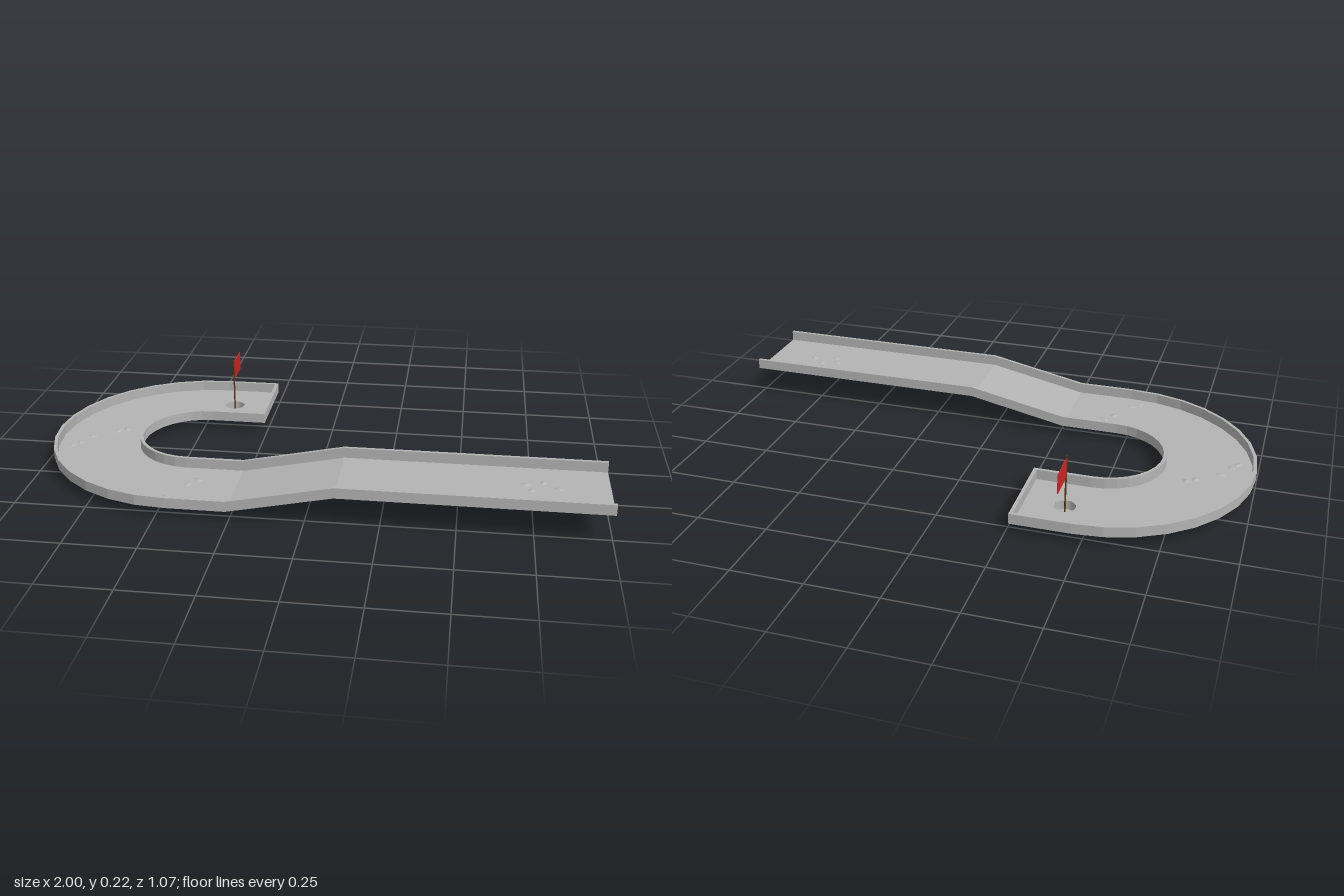
import * as THREE from 'three';

const LOW = 0.033, HIGH = 0.107, WALL_H = 0.037, WALL_T = 0.012;
const R_IN = 0.208, R_OUT = 0.533, BEND_X = -0.467, END_X = -0.26;
const CUP = { x: -0.41, z: -0.37, r: 0.037 };

// Stations along the lane: pivot x, outward direction (nx, nz) and deck height
function laneStations() {
  const s = [
    { x: 1, nx: 0, nz: 1, y: HIGH },
    { x: 0.1, nx: 0, nz: 1, y: HIGH },
    { x: -0.26, nx: 0, nz: 1, y: LOW },
  ];
  const n = 16;
  for (let i = 0; i <= n; i++) {
    const t = (Math.PI * i) / n;
    s.push({ x: BEND_X, nx: -Math.sin(t), nz: Math.cos(t), y: LOW });
  }
  return s;
}

// Sweep a profile of [radius, height] points along the stations
function sweep(stations, profile, closed) {
  const pos = [];
  const at = (s, [r, h]) => [s.x + s.nx * r, s.y + h, s.nz * r];
  const quad = (a, b, c, d) => pos.push(...a, ...b, ...c, ...a, ...c, ...d);
  const edges = closed ? profile.length : profile.length - 1;
  for (let i = 0; i < stations.length - 1; i++) {
    const s = stations[i], e = stations[i + 1];
    for (let j = 0; j < edges; j++) {
      const p = profile[j], q = profile[(j + 1) % profile.length];
      quad(at(s, p), at(s, q), at(e, q), at(e, p));
    }
  }
  if (closed) {
    const first = profile.map((p) => at(stations[0], p)).reverse();
    quad(...first);
    quad(...profile.map((p) => at(stations[stations.length - 1], p)));
  }
  const g = new THREE.BufferGeometry();
  g.setAttribute('position', new THREE.Float32BufferAttribute(pos, 3));
  g.computeVertexNormals();
  return g;
}

export function createModel() {
  const group = new THREE.Group();
  const make = (name, color) => {
    const m = new THREE.MeshStandardMaterial({ color, flatShading: true, side: THREE.DoubleSide });
    m.name = name;
    return m;
  };
  const grey = make('concrete grey', 0xb4b4b4);
  const red = make('flag red', 0xd02424);
  const brown = make('pole brown', 0x5a3a12);

  const add = (name, geometry, material, x = 0, y = 0, z = 0) => {
    const m = new THREE.Mesh(geometry, material);
    m.name = name;
    m.position.set(x, y, z);
    group.add(m);
    return m;
  };

  // Deck: swept sheet, then a flat end piece with the hole cut out
  const stations = laneStations();
  add('deck', sweep(stations, [[R_OUT, 0], [R_IN, 0]], false), grey);
  const end = new THREE.Shape();
  end.moveTo(BEND_X, R_IN);
  end.lineTo(END_X, R_IN);
  end.lineTo(END_X, R_OUT);
  end.lineTo(BEND_X, R_OUT);
  const hole = new THREE.Path();
  hole.absarc(CUP.x, -CUP.z, CUP.r, 0, Math.PI * 2, true);
  end.holes.push(hole);
  add('holeDeck', new THREE.ShapeGeometry(end, 24).rotateX(-Math.PI / 2), grey, 0, LOW, 0);

  // Side walls follow the whole lane, one wall closes its far end
  const wallPath = [...stations, { x: END_X, nx: 0, nz: -1, y: LOW }];
  const wallProfile = (r) => [[r, 0], [r + WALL_T, 0], [r + WALL_T, WALL_H], [r, WALL_H]];
  add('innerWall', sweep(wallPath, wallProfile(R_IN), true), grey);
  add('outerWall', sweep(wallPath, wallProfile(R_OUT - WALL_T), true), grey);
  add('endWall', new THREE.BoxGeometry(WALL_T, WALL_H, R_OUT - R_IN - 2 * WALL_T), grey,
    END_X - WALL_T / 2, LOW + WALL_H / 2, -(R_IN + R_OUT) / 2);

  // Cup below the hole
  const cupProfile = [[0, 0], [CUP.r, 0], [CUP.r, LOW]].map(([x, y]) => new THREE.Vector2(x, y));
  add('cup', new THREE.LatheGeometry(cupProfile, 24), grey, CUP.x, 0, CUP.z);

  // Flag on its pole
  add('pole', new THREE.CylinderGeometry(0.003, 0.003, 0.225, 8), brown, CUP.x, 0.1125, CUP.z);
  add('flag', new THREE.BoxGeometry(0.003, 0.071, 0.114), red, CUP.x, 0.18, CUP.z - 0.062);

  // Small bumps scattered on the deck in three clusters
  const clusters = [
    [LOW, [[-0.88, 0], [-0.8, -0.06], [-0.91, 0.06], [-0.93, 0.09], [-0.77, -0.08]]],
    [LOW, [[-0.48, 0.45], [-0.43, 0.35], [-0.4, 0.31], [-0.51, 0.47]]],
    [HIGH, [[0.72, 0.35], [0.78, 0.33], [0.83, 0.37], [0.74, 0.39]]],
  ];
  const bump = new THREE.ConeGeometry(0.018, 0.005, 7, 1, true);
  for (const [y, spots] of clusters) {
    spots.forEach(([x, z], i) => {
      const m = add('bump', bump, grey, x, y + 0.0025, z);
      m.rotation.y = i * 1.3;
      m.scale.set(1, 1, 0.7);
    });
  }
  return group;
}
